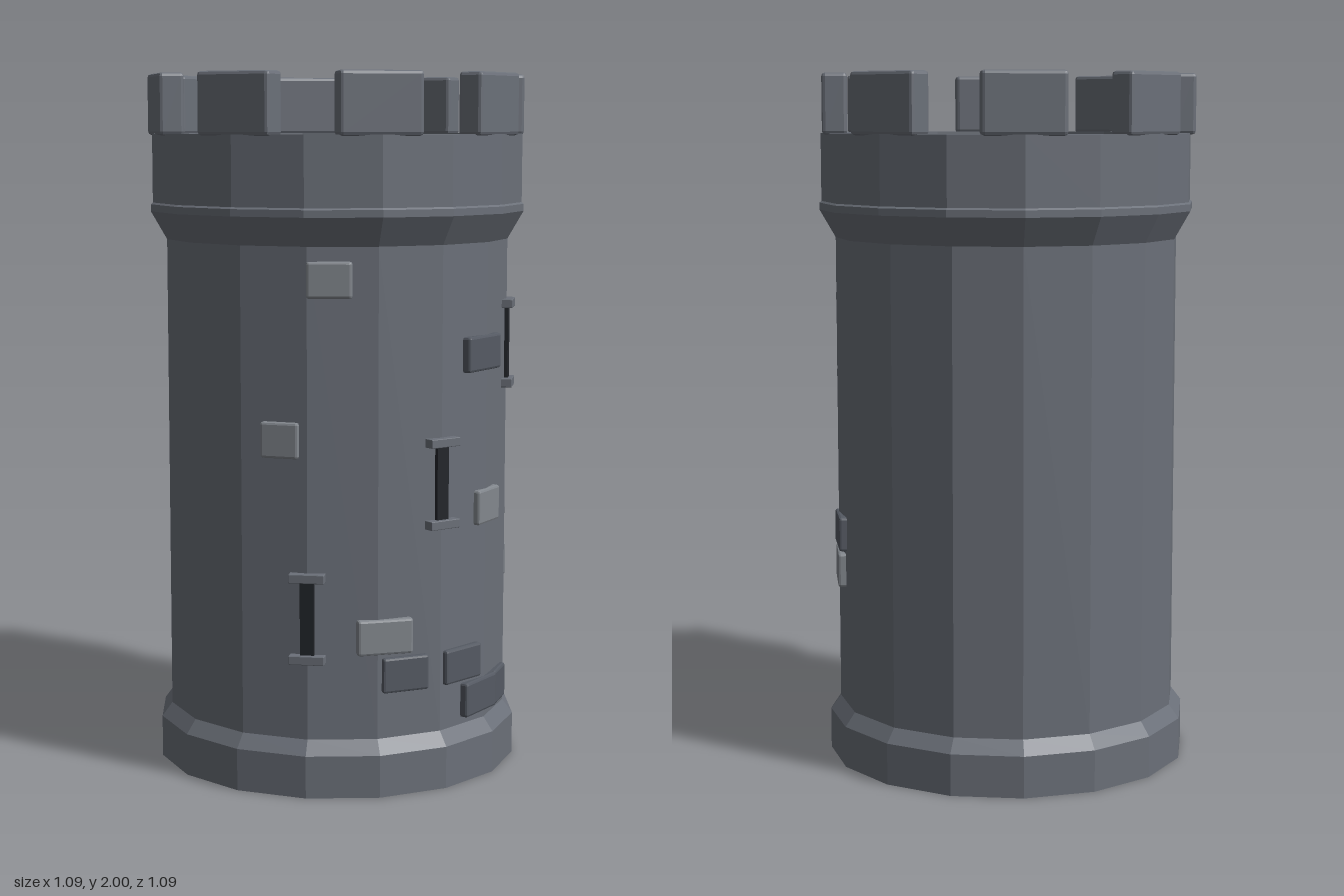
import * as THREE from 'three';
import { RoundedBoxGeometry } from 'three/addons/geometries/RoundedBoxGeometry.js';

const mat = (color) => new THREE.MeshStandardMaterial({ color, flatShading: true });

export function createModel() {
  const tower = new THREE.Group();
  tower.name = 'tower';
  const stone = mat(0x6b7079);
  const lightStone = mat(0x82878d);
  const darkStone = mat(0x555a63);
  const opening = mat(0x22252a);

  // Place a chamfered block on the wall: angle in degrees from the front, r to its centre
  function block(name, material, angle, r, y, w, h, d, bevel) {
    const mesh = new THREE.Mesh(new RoundedBoxGeometry(w, h, d, 1, bevel), material);
    const a = THREE.MathUtils.degToRad(angle);
    mesh.position.set(Math.sin(a) * r, y, Math.cos(a) * r);
    mesh.rotation.y = a;
    mesh.name = name;
    tower.add(mesh);
  }

  // Sixteen-sided wall: plinth, shaft, flared parapet and sunken roof floor
  const profile = [
    [0, 0], [0.53, 0], [0.53, 0.12], [0.5, 0.16], [0.5, 1.53],
    [0.546, 1.61], [0.546, 1.63], [0.54, 1.635], [0.54, 1.83],
    [0.465, 1.83], [0.465, 1.72], [0, 1.72],
  ].map(([x, y]) => new THREE.Vector2(x, y));
  const wall = new THREE.Mesh(new THREE.LatheGeometry(profile, 16), stone);
  wall.name = 'wall';
  tower.add(wall);

  // Battlements
  for (let i = 0; i < 8; i++) {
    block('merlon', stone, 22.5 + i * 45, 0.5, 1.913, 0.233, 0.174, 0.072, 0.01);
  }

  // Arrow slits with a lintel and a sill
  for (const [angle, y] of [[0, 0.87], [45, 1.23], [-45, 0.505]]) {
    block('arrowSlit', opening, angle, 0.495, y, 0.04, 0.22, 0.025, 0.001);
    for (const s of [-1, 1]) {
      block(s > 0 ? 'lintel' : 'sill', stone, angle, 0.503, y + s * 0.115, 0.1, 0.025, 0.036, 0.002);
    }
  }

  // Raised bricks: angle, height, width, material
  const bricks = [
    [-38, 1.44, 0.125, lightStone],
    [-54, 1.0, 0.11, lightStone],
    [20.5, 1.22, 0.175, darkStone],
    [24, 0.78, 0.13, lightStone],
    [71, 0.67, 0.16, darkStone],
    [69, 0.56, 0.16, lightStone],
    [-20, 0.45, 0.16, lightStone],
    [-13, 0.34, 0.14, darkStone],
    [10, 0.34, 0.15, darkStone],
    [20, 0.23, 0.165, darkStone],
    [36, 0.23, 0.115, darkStone],
  ];
  for (const [angle, y, w, m] of bricks) {
    block('brick', m, angle, 0.487, y, w, 0.1, 0.04, 0.007);
  }

  return tower;
}
